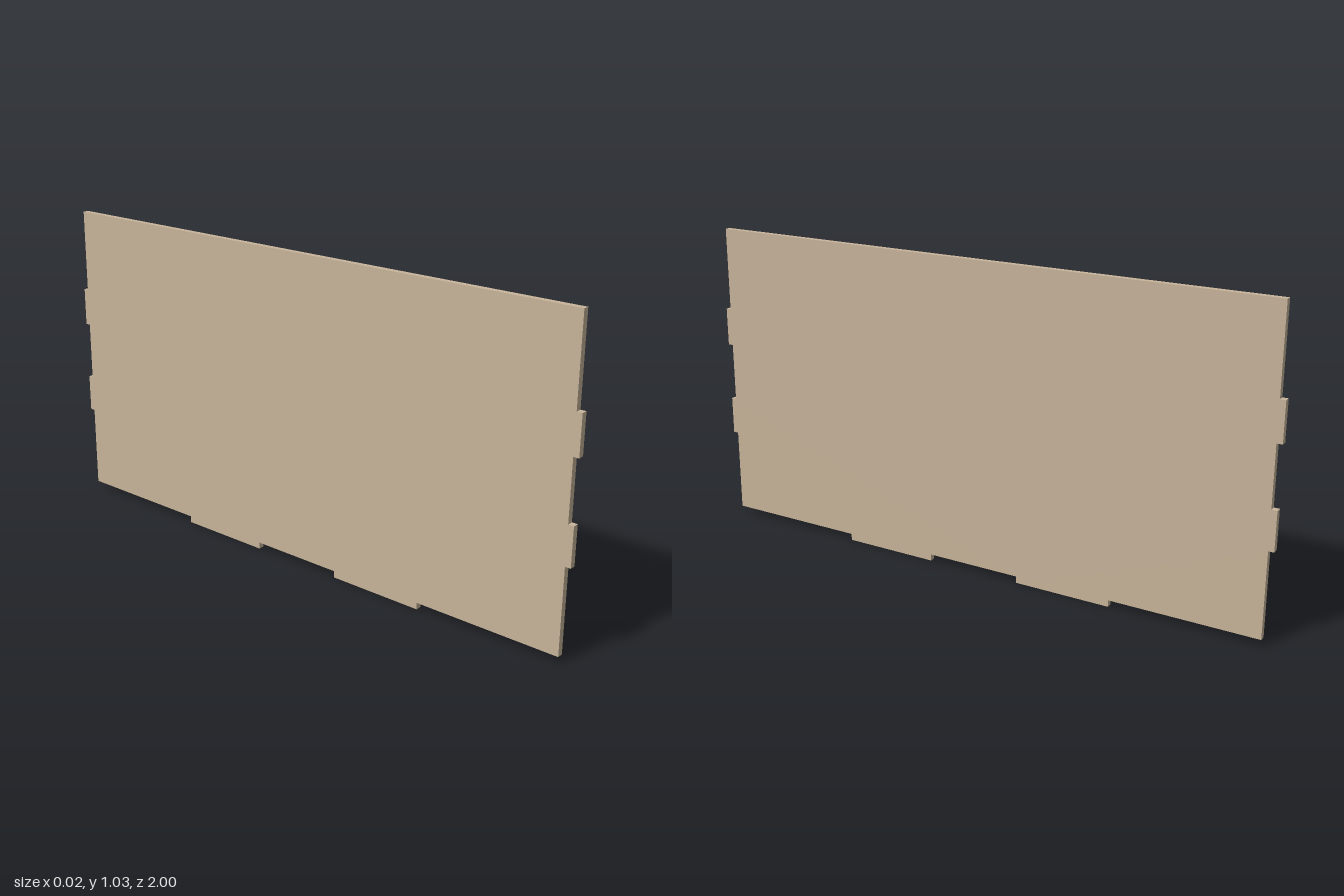
import * as THREE from 'three';

export function createModel() {
  const group = new THREE.Group();
  const thickness = 0.02, edge = 0.982, base = 0.022, top = 1.035;

  // Right half of the outline, from the bottom centre up to the top corner
  const half = [
    [0.163, base], [0.163, 0], [0.49, 0], [0.49, base], // bottom tab
    [edge, base],
    [edge, 0.303], [1, 0.303], [1, 0.43], [edge, 0.43], // lower side tab
    [edge, 0.627], [1, 0.627], [1, 0.755], [edge, 0.755], // upper side tab
    [edge, top],
  ];
  const mirrored = half.map(([x, y]) => [-x, y]).reverse();
  const outline = [...half, ...mirrored].map(([x, y]) => new THREE.Vector2(x, y));

  // Flat panel, turned so that its length runs along z
  const geometry = new THREE.ExtrudeGeometry(new THREE.Shape(outline), {
    depth: thickness, bevelEnabled: false,
  });
  geometry.translate(0, 0, -thickness / 2);
  geometry.rotateY(-Math.PI / 2);

  const panel = new THREE.Mesh(geometry, new THREE.MeshStandardMaterial({ color: 0xc8b59b }));
  panel.name = 'tabbedPanel';
  group.add(panel);
  return group;
}
